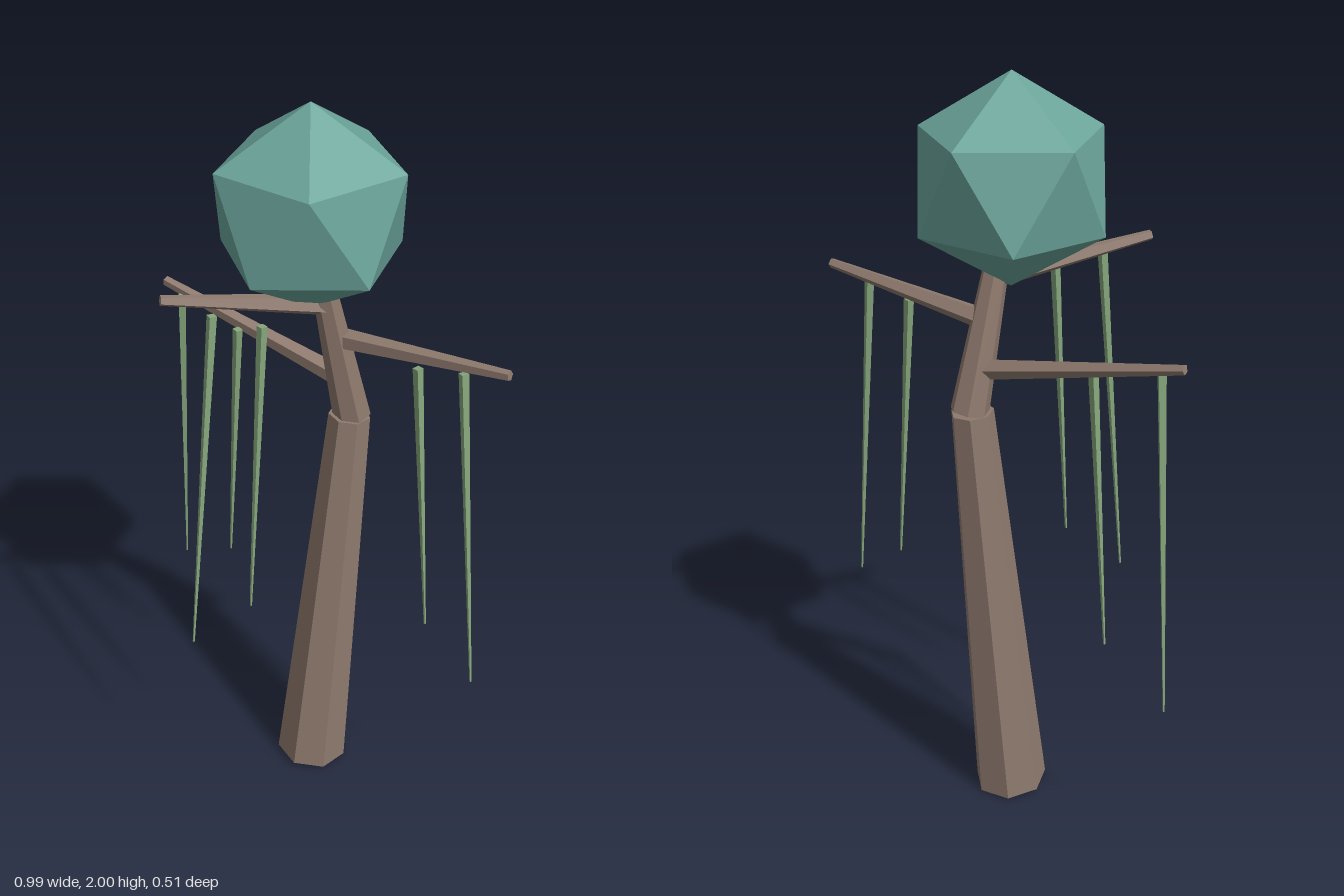
import * as THREE from 'three';

const mat = (color) => new THREE.MeshStandardMaterial({ color, flatShading: true });

// Tapered prism running between two points
function limb(name, from, to, r0, r1, sides, material, turn = Math.PI / 2) {
  const a = new THREE.Vector3(...from);
  const b = new THREE.Vector3(...to);
  const axis = b.clone().sub(a);
  const geometry = new THREE.CylinderGeometry(r1, r0, axis.length(), sides);
  geometry.rotateY(turn);
  const mesh = new THREE.Mesh(geometry, material);
  mesh.name = name;
  mesh.position.copy(a).add(b).multiplyScalar(0.5);
  mesh.quaternion.setFromUnitVectors(new THREE.Vector3(0, 1, 0), axis.normalize());
  return mesh;
}

export function createModel() {
  const tree = new THREE.Group();
  tree.name = 'tree';
  const bark = mat(0x8f7a6e);
  const leaf = mat(0x6ba59b);
  const moss = mat(0x86a67c);

  // Trunk in two leaning sections
  tree.add(limb('lowerTrunk', [-0.03, 0.008, -0.033], [0.055, 1.165, -0.09], 0.1, 0.055, 7, bark));
  tree.add(limb('upperTrunk', [0.06, 1.165, -0.095], [0.01, 1.53, -0.03], 0.05, 0.032, 7, bark));

  // Branches, each carrying two hanging vines: [start, end]
  const branches = [
    {
      name: 'rightBranch', from: [0.045, 1.275, -0.075], to: [-0.493, 1.394, -0.21],
      vines: [
        [[-0.435, 1.375, -0.18], [-0.495, 0.475, -0.24]],
        [[-0.26, 1.335, -0.125], [-0.317, 0.588, -0.155]],
      ],
    },
    {
      name: 'leftBranch', from: [0.028, 1.4, -0.058], to: [0.488, 1.455, 0.075],
      vines: [
        [[0.257, 1.4, 0.02], [0.315, 0.645, 0.05]],
        [[0.375, 1.425, 0.05], [0.46, 0.532, 0.108]],
      ],
    },
    {
      name: 'frontBranch', from: [0.015, 1.5, -0.035], to: [-0.32, 1.57, 0.195],
      vines: [
        [[-0.205, 1.535, 0.165], [-0.262, 0.59, 0.255]],
        [[-0.09, 1.515, 0.14], [-0.118, 0.708, 0.198]],
      ],
    },
  ];
  for (const { name, from, to, vines } of branches) {
    tree.add(limb(name, from, to, 0.028, 0.013, 5, bark));
    for (const [top, tip] of vines) tree.add(limb('vine', top, tip, 0.013, 0.003, 4, moss, 0.4));
  }

  // Faceted crown with one corner pointing straight up
  const crownGeometry = new THREE.IcosahedronGeometry(0.257, 0);
  crownGeometry.rotateZ(-Math.atan(2 / (1 + Math.sqrt(5))));
  const crown = new THREE.Mesh(crownGeometry, leaf);
  crown.name = 'crown';
  crown.position.set(-0.03, 1.743, -0.037);
  tree.add(crown);

  return tree;
}
